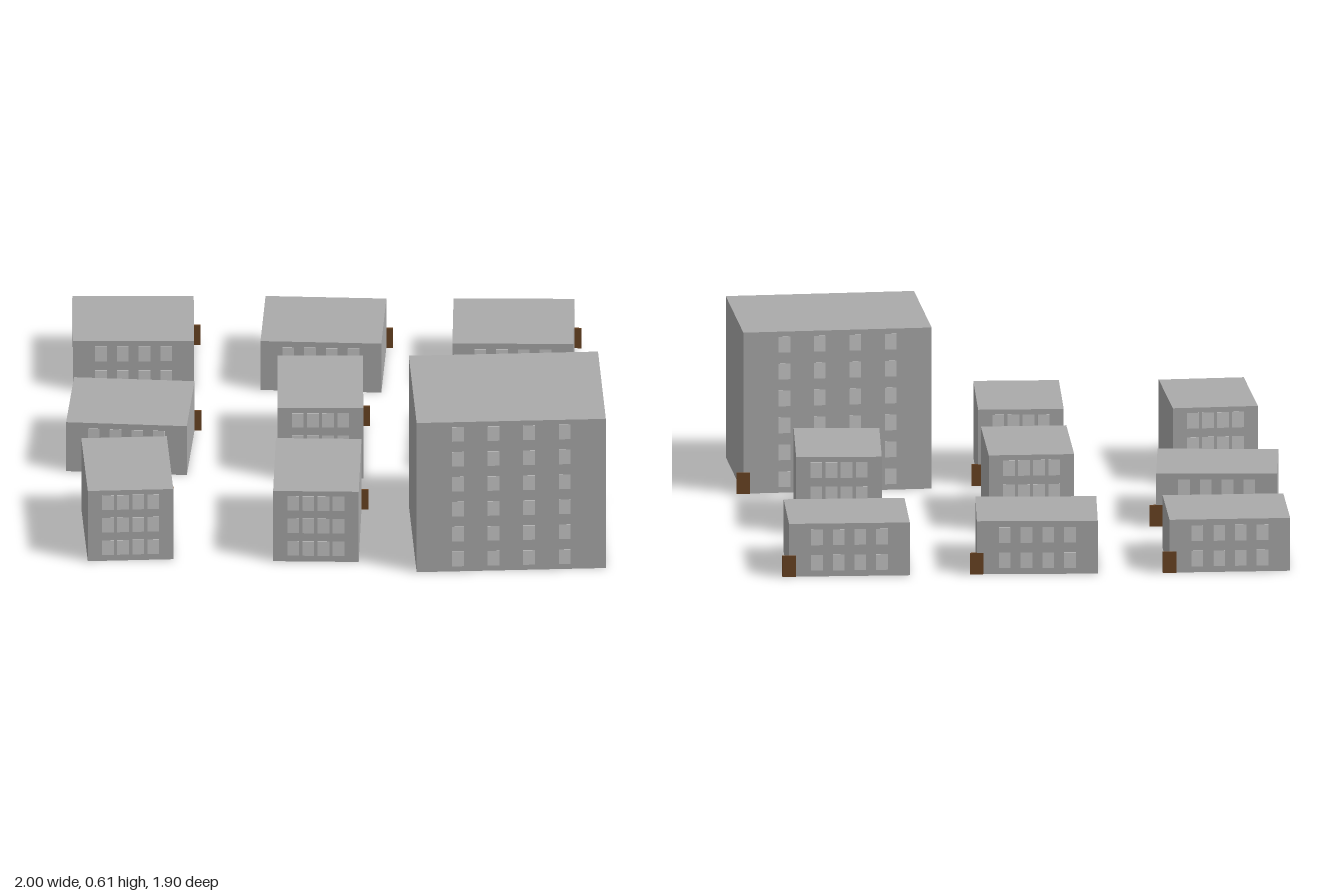
import * as THREE from 'three';

const mat = (name, color) => {
  const m = new THREE.MeshStandardMaterial({ color });
  m.name = name;
  return m;
};

// Building types: footprint, height and window grid on the front and back walls
const TYPES = {
  low:   { w: 0.445, d: 0.38,  h: 0.20, rows: 2, y0: 0.052, dy: 0.096, dx: 0.08 },
  mid:   { w: 0.315, d: 0.445, h: 0.287, rows: 3, y0: 0.054, dy: 0.092, dx: 0.0555 },
  tower: { w: 0.697, d: 0.567, h: 0.61, rows: 6, y0: 0.051, dy: 0.102, dx: 0.131 },
};

// Block plan, back row first: [type, turn about y]
const PLAN = [
  [['low', 0.02], ['low', -0.033], ['low', 0.005]],
  [['low', -0.06], ['mid', 0.018], ['mid', -0.027]],
  [['mid', 0.07], ['mid', -0.007], ['tower', 0.067]],
];
const XS = [-0.766, -0.067, 0.632];
const ZS = [-0.761, -0.061, 0.639];

export function createModel() {
  const wallMat = mat('concrete', 0xaaaaaa);
  const windowMat = mat('window glass', 0xc8c8c8);
  const doorMat = mat('door wood', 0x6b4423);
  const model = new THREE.Group();
  model.name = 'cityBlock';

  const windowGeo = new THREE.BoxGeometry(0.043, 0.059, 0.005);
  const doorGeo = new THREE.BoxGeometry(0.05, 0.08, 0.008);

  const add = (parent, name, geo, material, x, y, z) => {
    const mesh = new THREE.Mesh(geo, material);
    mesh.name = name;
    mesh.position.set(x, y, z);
    parent.add(mesh);
    return mesh;
  };

  PLAN.forEach((row, r) => row.forEach(([type, turn], c) => {
    const t = TYPES[type];
    const building = new THREE.Group();
    building.name = type + 'Building';
    building.position.set(XS[c], 0, ZS[r]);
    building.rotation.y = turn;
    model.add(building);

    add(building, 'walls', new THREE.BoxGeometry(t.w, t.h, t.d), wallMat, 0, t.h / 2, 0);

    // Four window columns per floor on the front and back
    for (const side of [-1, 1])
      for (let i = 0; i < t.rows; i++)
        for (let j = 0; j < 4; j++)
          add(building, 'window', windowGeo, windowMat,
            (j - 1.5) * t.dx, t.y0 + i * t.dy, side * t.d / 2);

    // Door centred on the back left corner, kept square to the street
    const door = add(building, 'door', doorGeo, doorMat, t.w / 2, 0.04, -t.d / 2);
    door.rotation.y = -turn;
  }));

  return model;
}
